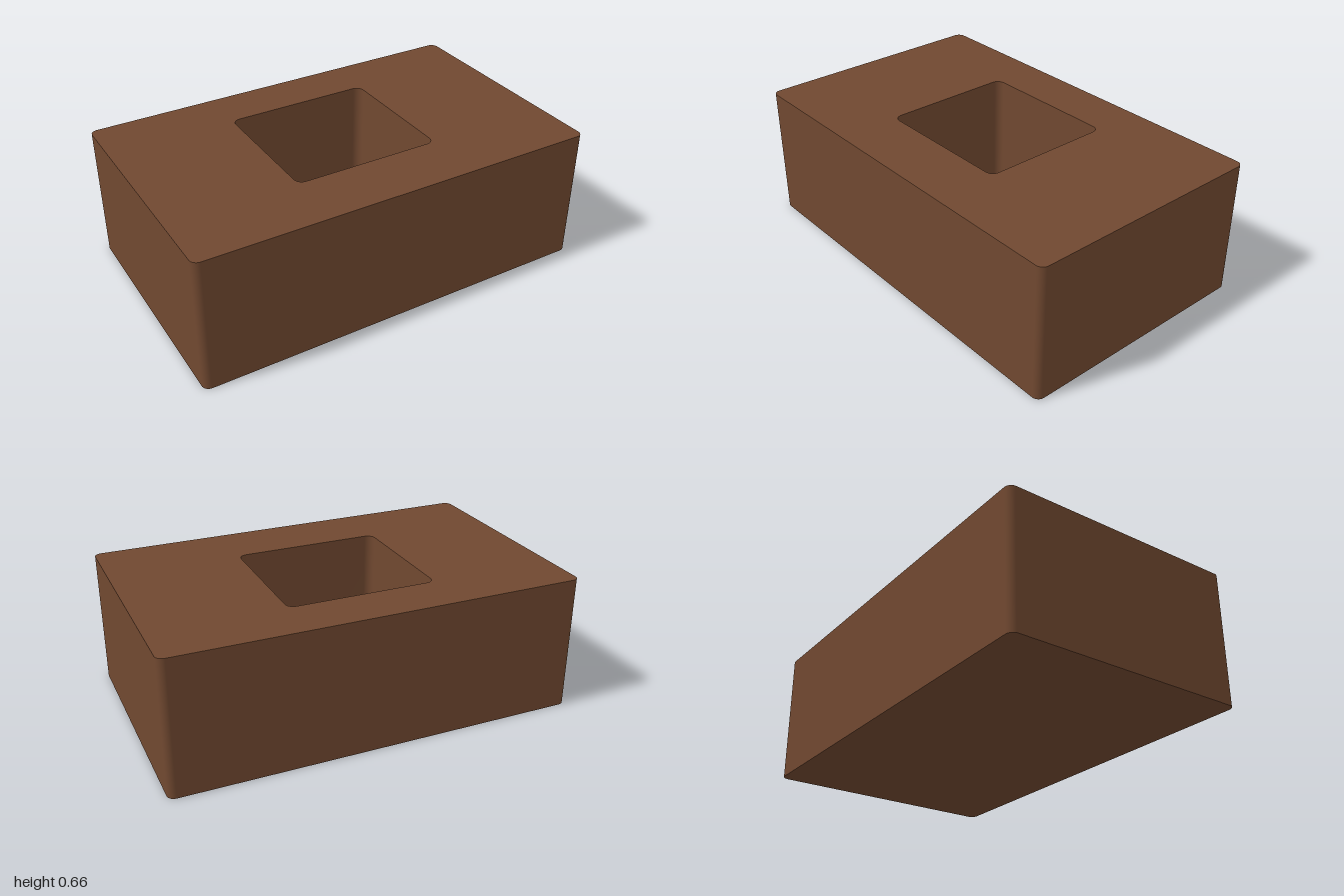
import * as THREE from 'three';

const HEIGHT = 0.663, FLOOR = 0.1;

// Counter-clockwise outline of a rounded rectangle
function roundedLoop(x0, x1, y0, y1, r, steps = 8) {
  const corners = [[x1 - r, y0 + r], [x1 - r, y1 - r], [x0 + r, y1 - r], [x0 + r, y0 + r]];
  return corners.flatMap(([cx, cy], k) =>
    Array.from({ length: steps + 1 }, (_, i) => {
      const a = (k - 1 + i / steps) * Math.PI / 2;
      return new THREE.Vector2(cx + r * Math.cos(a), cy + r * Math.sin(a));
    }));
}

// Upright wall along a closed outline, facing outward for counter-clockwise loops
function wall(loop, bottom, top) {
  const positions = [], index = [], n = loop.length;
  loop.forEach((p, i) => {
    positions.push(p.x, bottom, -p.y, p.x, top, -p.y);
    const a = 2 * i, b = 2 * ((i + 1) % n);
    index.push(a, b, b + 1, a, b + 1, a + 1);
  });
  const g = new THREE.BufferGeometry();
  g.setAttribute('position', new THREE.Float32BufferAttribute(positions, 3));
  g.setIndex(index);
  g.computeVertexNormals();
  return g;
}

// Flat horizontal face at height y, facing up or down
function face(loop, y, up = true, hole = null) {
  const shape = new THREE.Shape(loop);
  if (hole) shape.holes.push(new THREE.Path(hole));
  return new THREE.ShapeGeometry(shape).rotateX(up ? -Math.PI / 2 : Math.PI / 2).translate(0, y, 0);
}

export function createModel() {
  const group = new THREE.Group();
  group.name = 'hollowBlock';
  const material = new THREE.MeshStandardMaterial({ color: 0x704830 });
  const add = (name, geometry) => {
    const mesh = new THREE.Mesh(geometry, material);
    mesh.name = name;
    group.add(mesh);
  };

  const outer = roundedLoop(-1, 1, -0.608, 0.608, 0.035);
  const inner = roundedLoop(-0.37, 0.354, -0.303, 0.361, 0.04);

  // Outside of the block
  add('outerWalls', wall(outer, 0, HEIGHT));
  add('topFace', face(outer, HEIGHT, true, inner));
  add('bottomFace', face(outer, 0, false));

  // Pocket sunk into the top
  add('pocketWalls', wall([...inner].reverse(), FLOOR, HEIGHT));
  add('pocketFloor', face(inner, FLOOR));

  return group;
}
